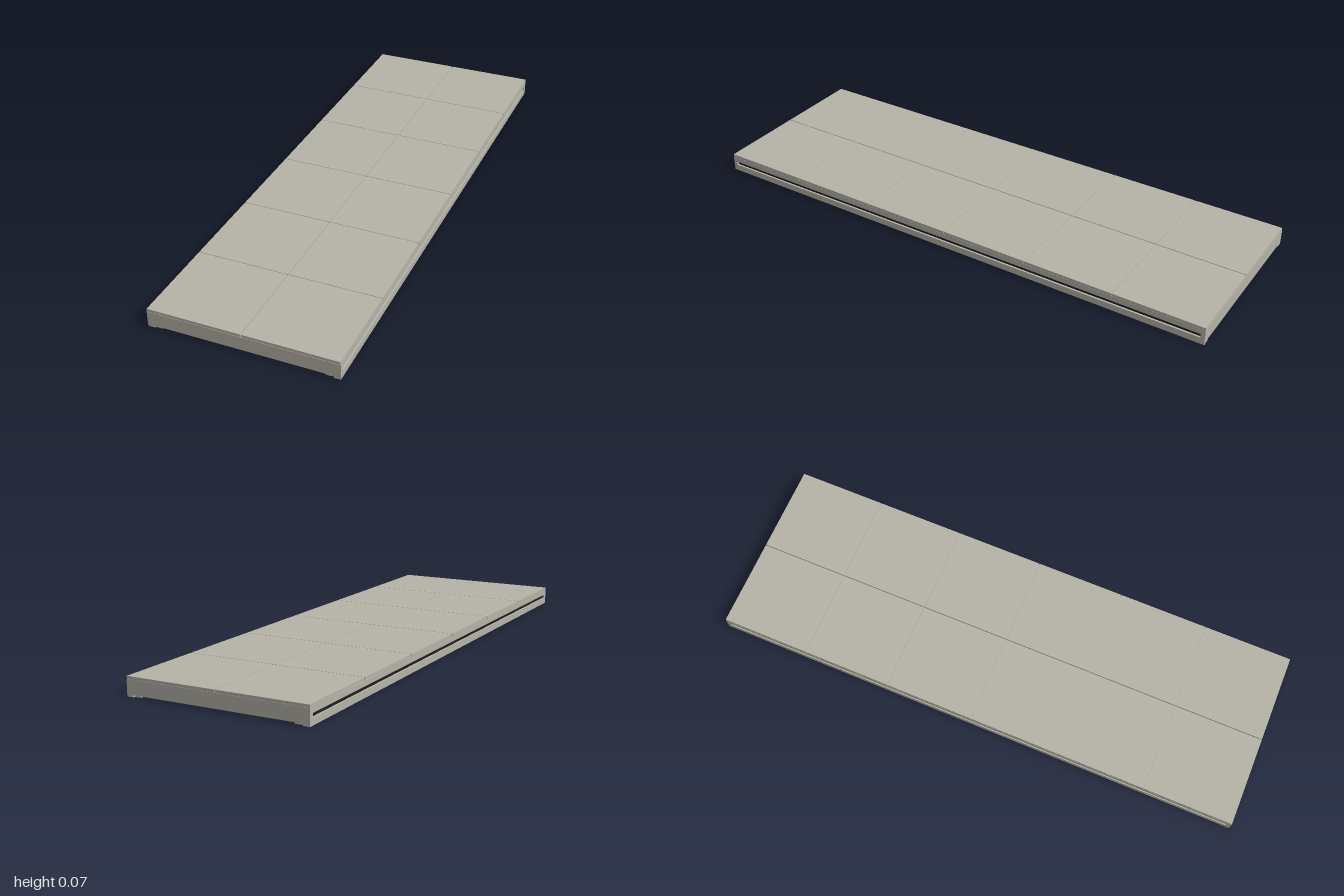
import * as THREE from 'three';

const W = 0.333, L = 2, H = 0.067, DECK = 0.057;
const paint = (color) => new THREE.MeshStandardMaterial({ color });
const tan = paint(0xb6b3a7);
const dark = paint(0x1c1d20);
const strip = paint(0x6e6752);

export function createModel() {
  const root = new THREE.Group();
  root.name = 'deckPlatform';

  const box = (name, w, h, d, x, y, z, material = tan, parent = root) => {
    const mesh = new THREE.Mesh(new THREE.BoxGeometry(w, h, d), material);
    mesh.position.set(x, y, z);
    mesh.name = name;
    parent.add(mesh);
    return mesh;
  };

  // Top tiles, two across and six along, with hairline gaps
  const tiles = new THREE.Group();
  tiles.name = 'deckTiles';
  root.add(tiles);
  const gap = 0.002, pitch = L / 6;
  for (let i = 0; i < 2; i++) {
    for (let j = 0; j < 6; j++) {
      box('deckTile', W - gap, H - DECK, pitch - gap,
        (i - 0.5) * (W + gap / 2), (H + DECK) / 2, (j - 2.5) * pitch, tan, tiles);
    }
  }

  // Board beneath the tiles
  box('deckBoard', 0.6, 0.012, L - 0.02, 0, DECK - 0.006, 0);

  // Side rails: section with an outer groove and a slot under the inner lip
  const section = new THREE.Shape([
    [W, 0], [W, 0.024], [W - 0.01, 0.024], [W - 0.01, 0.038], [W, 0.038], [W, DECK],
    [0.28, DECK], [0.28, 0.002], [0.302, 0.002], [0.302, 0.007], [0.308, 0.007], [0.308, 0],
  ].map(([x, y]) => new THREE.Vector2(x, y)));
  const railGeometry = new THREE.ExtrudeGeometry(section, { depth: L - 0.004, bevelEnabled: false });
  railGeometry.translate(0, 0, -(L - 0.004) / 2);
  for (const side of [1, -1]) {
    const rail = new THREE.Group();
    rail.name = side > 0 ? 'leftRail' : 'rightRail';
    rail.rotation.y = side > 0 ? 0 : Math.PI;
    root.add(rail);
    const body = new THREE.Mesh(railGeometry, tan);
    body.name = 'railBody';
    rail.add(body);
    // Dark insert and narrow trim inside the groove
    box('grooveInsert', 0.004, 0.01, L - 0.006, W - 0.009, 0.029, 0, dark, rail);
    box('grooveTrim', 0.004, 0.004, L - 0.006, W - 0.008, 0.036, 0, strip, rail);
  }

  // End plates closing the rails
  for (const side of [1, -1]) {
    box(side > 0 ? 'frontPlate' : 'backPlate', 2 * W, DECK - 0.007, 0.016,
      0, (DECK + 0.007) / 2, side * (L / 2 - 0.008));
    box('endBeam', 0.56, 0.028, 0.02, 0, 0.016, side * (L / 2 - 0.024));
    for (const x of [-1, 1]) {
      box('plateFoot', W - 0.308, 0.007, 0.016, x * (W + 0.308) / 2, 0.0035, side * (L / 2 - 0.008));
    }
  }

  // Cross ribs under the tile joints
  for (let i = -2; i <= 2; i++) {
    box('crossRib', 0.56, 0.04, 0.035, 0, 0.022, i * pitch);
  }

  // Dark underside panels between the ribs
  for (let j = 0; j < 6; j++) {
    box('undersidePanel', 0.56, 0.006, pitch - 0.034, 0, 0.008, (j - 2.5) * pitch, dark);
  }
  return root;
}
